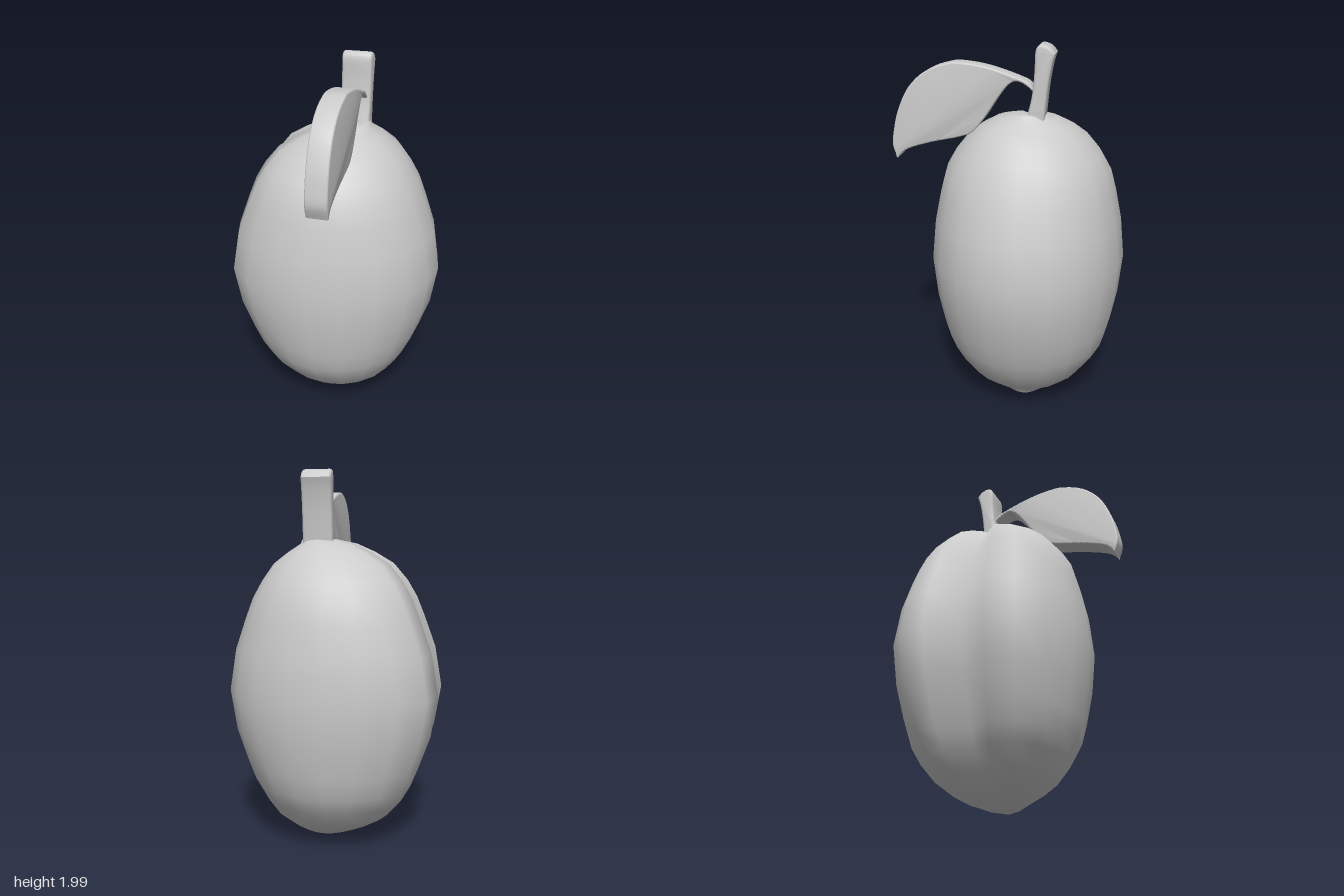
import * as THREE from 'three';
import { mergeVertices, toCreasedNormals } from 'three/addons/utils/BufferGeometryUtils.js';

const material = new THREE.MeshStandardMaterial({ color: 0xcccccc });

function addMesh(group, name, geometry) {
  const mesh = new THREE.Mesh(geometry, material);
  mesh.name = name;
  group.add(mesh);
}

// Side profile in (z, y), extruded across x with softly rounded edges.
// Each run is a smooth curve; corners stay sharp where runs meet.
function slab(start, runs, width, centerX, bevel) {
  const shape = new THREE.Shape();
  shape.moveTo(...start);
  for (const run of runs) shape.splineThru(run.map(([z, y]) => new THREE.Vector2(z, y)));
  const geometry = new THREE.ExtrudeGeometry(shape, {
    depth: width - 2 * bevel, curveSegments: 20,
    bevelThickness: bevel, bevelSize: bevel, bevelOffset: -bevel, bevelSegments: 3,
  });
  geometry.translate(0, 0, bevel - width / 2);
  geometry.rotateY(-Math.PI / 2);
  geometry.translate(centerX, 0, 0);
  return toCreasedNormals(geometry, 0.7);
}

// Rings from the equator to the pole: height, x radius, z radius, x centre, groove depth
const RINGS = [
  [0, 0.575, 0.537, 0, 0.105],
  [0.22, 0.54, 0.515, 0, 0.105],
  [0.39, 0.482, 0.48, 0, 0.105],
  [0.5, 0.44, 0.45, 0, 0.105],
  [0.59, 0.39, 0.398, 0, 0.105],
  [0.68, 0.322, 0.325, 0.005, 0.105],
  [0.74, 0.235, 0.25, 0.015, 0.1],
  [0.785, 0.152, 0.167, 0.03, 0.085],
  [0.81, 0.088, 0.09, 0.085, 0.05],
  [0.822, 0, 0, 0.155, 0],
];

// Plump body with a groove down one meridian and poles pinched sideways
function fruitGeometry() {
  const columns = 20, half = RINGS.length - 1;
  const geometry = new THREE.SphereGeometry(1, columns, 2 * half);
  // x shift per column, from beside the groove round to the far side
  const lean = [0, -0.031, -0.065, -0.062, -0.042, -0.04, -0.028, -0.013, -0.005, -0.002, 0];
  const p = geometry.attributes.position;
  for (let i = 0; i < p.count; i++) {
    const column = i % (columns + 1);
    const ring = Math.floor(i / (columns + 1)) - half;
    const [height, rx, rz, centerX, groove] = RINGS[Math.abs(ring)];
    const k = Math.min(column, columns - column);
    const angle = column / columns * Math.PI * 2;
    const shift = k === 0 ? groove : lean[k] * (rx / 0.575) ** 2;
    p.setXYZ(i,
      centerX + shift - rx * Math.cos(angle),
      0.83 - Math.sign(ring) * height,
      rz * Math.sin(angle) - 0.085);
  }
  geometry.deleteAttribute('uv');
  geometry.deleteAttribute('normal');
  const welded = mergeVertices(geometry, 1e-4);
  welded.computeVertexNormals();
  return welded;
}

export function createModel() {
  const group = new THREE.Group();
  group.name = 'fruit';

  addMesh(group, 'fruitBody', fruitGeometry());

  // Stem, flaring slightly toward a rounded top
  addMesh(group, 'stem', slab([-0.095, 1.64], [
    [[-0.118, 1.74], [-0.13, 1.86], [-0.134, 1.96], [-0.148, 1.992], [-0.172, 2.0], [-0.21, 1.985], [-0.236, 1.955]],
    [[-0.218, 1.89], [-0.2, 1.78], [-0.184, 1.615]],
  ], 0.16, 0.074, 0.015));

  // Leaf: upper edge to the tip, then the lower edge back to the stalk
  addMesh(group, 'leaf', slab([-0.125, 1.775], [
    [[-0.09, 1.812], [0.037, 1.86], [0.15, 1.89], [0.265, 1.904], [0.33, 1.896], [0.41, 1.87],
      [0.48, 1.825], [0.545, 1.75], [0.595, 1.64], [0.62, 1.54], [0.628, 1.46], [0.605, 1.39]],
    [[0.55, 1.44], [0.42, 1.482], [0.27, 1.515], [0.196, 1.545], [0.13, 1.62], [0.05, 1.74],
      [-0.01, 1.805], [-0.06, 1.808], [-0.125, 1.765]],
  ], 0.114, 0.08, 0.008));

  return group;
}
